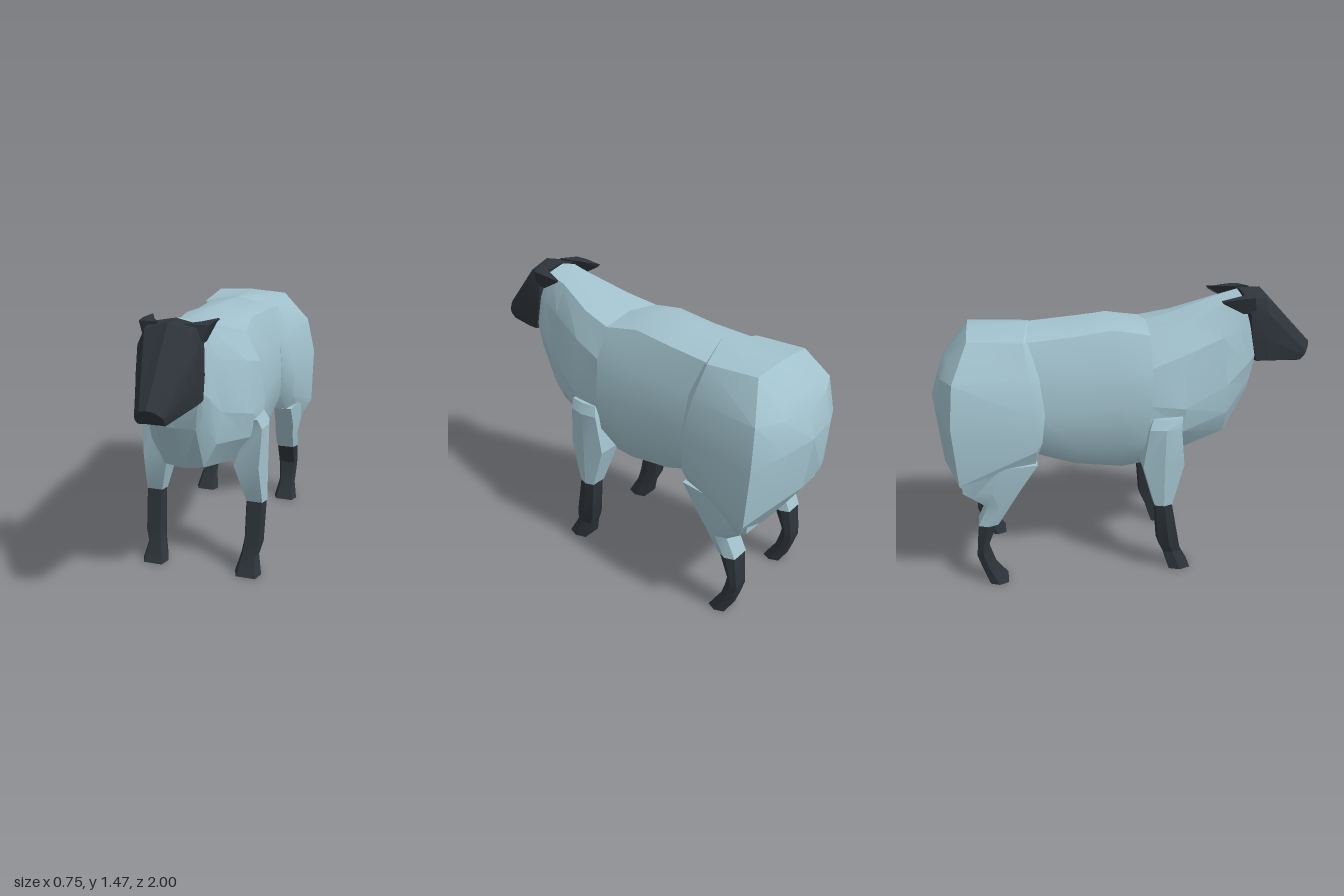
import * as THREE from 'three';
import { toCreasedNormals } from 'three/addons/utils/BufferGeometryUtils.js';

// Skin a list of closed rings of [x, y, z]; both ends are capped.
function loft(rings, crease) {
  const pos = [];
  const A = new THREE.Vector3(), B = new THREE.Vector3(), C = new THREE.Vector3();
  const tri = (a, b, c) => {
    A.set(...a); B.set(...b).sub(A); C.set(...c).sub(A);
    if (B.cross(C).length() > 1e-7) pos.push(...a, ...b, ...c);
  };
  const n = rings[0].length, last = rings.length - 1;
  for (let i = 0; i < last; i++) {
    for (let j = 0; j < n; j++) {
      const k = (j + 1) % n;
      const a = rings[i][j], b = rings[i][k], c = rings[i + 1][k], d = rings[i + 1][j];
      tri(a, d, b);
      tri(b, d, c);
    }
  }
  const centre = (r) => [0, 1, 2].map((m) => r.reduce((s, p) => s + p[m], 0) / n);
  const c0 = centre(rings[0]), c1 = centre(rings[last]);
  for (let j = 0; j < n; j++) {
    const k = (j + 1) % n;
    tri(c0, rings[0][j], rings[0][k]);
    tri(c1, rings[last][k], rings[last][j]);
  }
  const g = new THREE.BufferGeometry();
  g.setAttribute('position', new THREE.Float32BufferAttribute(pos, 3));
  return toCreasedNormals(g, crease);
}

// Complete a left half section (top centre to bottom centre) with its mirror image.
const whole = (half) => [...half, ...half.slice(1, -1).reverse().map(([x, y, z]) => [-x, y, z])];

// Mirror rings to the other side; reversing their order keeps the faces outward.
const mirror = (rings) => rings.map((r) => r.map(([x, y, z]) => [-x, y, z])).reverse();

// Six-sided limb section fitted into a rectangle at height y.
function limbRing([y, x0, x1, z0, z1]) {
  const q = (x1 - x0) * 0.14, zm = (z0 + z1) / 2;
  return [[x0, y, zm], [x0 + q, y, z0], [x1 - q, y, z0], [x1, y, zm], [x1 - q, y, z1], [x0 + q, y, z1]];
}

export function createModel() {
  const model = new THREE.Group();
  const wool = new THREE.MeshStandardMaterial({ name: 'wool', color: 0xa2c2cd });
  const dark = new THREE.MeshStandardMaterial({ name: 'darkSkin', color: 0x2e343a });

  const add = (name, rings, material, crease = 0.4) => {
    const mesh = new THREE.Mesh(loft(rings, crease), material);
    mesh.name = name;
    model.add(mesh);
  };
  const addPair = (name, rings, material, crease) => {
    add('left' + name, rings, material, crease);
    add('right' + name, mirror(rings), material, crease);
  };

  // Rump and haunches, back to front
  add('rump', [
    [[0, 1.19, -0.92], [0, 1.19, -0.92], [0, 1.1, -0.96], [0, 0.97, -1], [0, 0.69, -0.97], [0, 0.55, -0.88], [0, 0.55, -0.88]],
    [[0, 1.19, -0.92], [0.14, 1.19, -0.9], [0.19, 1.12, -0.94], [0.2, 0.97, -0.975], [0.2, 0.69, -0.95], [0.18, 0.54, -0.87], [0, 0.55, -0.88]],
    [[0, 1.312, -0.8], [0.2, 1.3, -0.8], [0.33, 1.13, -0.88], [0.373, 0.93, -0.9], [0.373, 0.62, -0.88], [0.33, 0.53, -0.83], [0, 0.55, -0.85]],
    [[0, 1.335, -0.5], [0.21, 1.285, -0.53], [0.29, 1.13, -0.51], [0.335, 0.94, -0.49], [0.33, 0.76, -0.49], [0.29, 0.67, -0.5], [0, 0.64, -0.48]],
    [[0, 1.337, -0.47], [0.19, 1.27, -0.5], [0.25, 1.12, -0.46], [0.27, 0.93, -0.44], [0.26, 0.77, -0.46], [0.2, 0.68, -0.48], [0, 0.65, -0.46]],
  ].map(whole), wool);

  // Barrel of the body, smooth
  add('torso', [
    [[0, 1.332, -0.52], [0.19, 1.28, -0.52], [0.25, 1.12, -0.52], [0.265, 0.94, -0.52], [0.26, 0.78, -0.5], [0.2, 0.69, -0.49], [0, 0.67, -0.48]],
    [[0, 1.353, -0.29], [0.18, 1.295, -0.29], [0.25, 1.13, -0.29], [0.275, 0.94, -0.29], [0.265, 0.75, -0.29], [0.18, 0.61, -0.29], [0, 0.585, -0.29]],
    [[0, 1.37, -0.09], [0.18, 1.32, -0.08], [0.26, 1.15, -0.07], [0.285, 0.95, -0.06], [0.28, 0.74, -0.05], [0.17, 0.57, -0.04], [0, 0.535, -0.04]],
    [[0, 1.315, 0.11], [0.195, 1.29, 0.1], [0.27, 1.14, 0.1], [0.297, 0.95, 0.09], [0.29, 0.76, 0.08], [0.18, 0.59, 0.07], [0, 0.55, 0.06]],
  ].map(whole), wool, 0.7);

  // Chest and neck
  add('chest', [
    [[0, 1.315, 0.11], [0.195, 1.29, 0.1], [0.27, 1.14, 0.1], [0.297, 0.95, 0.09], [0.29, 0.76, 0.08], [0.18, 0.59, 0.07], [0, 0.55, 0.06]],
    [[0, 1.36, 0.27], [0.165, 1.325, 0.27], [0.24, 1.19, 0.27], [0.285, 0.92, 0.27], [0.26, 0.79, 0.27], [0.16, 0.65, 0.27], [0, 0.64, 0.27]],
    [[0, 1.43, 0.48], [0.105, 1.4, 0.48], [0.17, 1.25, 0.48], [0.19, 1.0, 0.51], [0.165, 0.84, 0.52], [0.1, 0.71, 0.52], [0, 0.7, 0.53]],
    [[0, 1.45, 0.55], [0.1, 1.42, 0.56], [0.145, 1.28, 0.58], [0.16, 1.1, 0.62], [0.13, 1.01, 0.64], [0.1, 0.95, 0.64], [0, 0.95, 0.645]],
    [[0, 1.46, 0.59], [0.1, 1.43, 0.6], [0.135, 1.3, 0.63], [0.14, 1.14, 0.66], [0.12, 1.11, 0.664], [0.1, 1.09, 0.662], [0, 1.09, 0.664]],
  ].map(whole), wool, 0.3);

  // Head, tapering to the muzzle
  add('head', [
    [[0, 1.462, 0.6], [0.12, 1.44, 0.61], [0.14, 1.37, 0.63], [0.147, 1.22, 0.645], [0.147, 1.11, 0.67], [0.08, 1.1, 0.67], [0, 1.1, 0.67]],
    [[0, 1.465, 0.71], [0.11, 1.43, 0.71], [0.14, 1.36, 0.72], [0.15, 1.22, 0.73], [0.145, 1.11, 0.73], [0.08, 1.09, 0.73], [0, 1.09, 0.73]],
    [[0, 1.16, 1.0], [0.035, 1.15, 0.99], [0.065, 1.12, 0.97], [0.067, 1.1, 0.96], [0.062, 1.075, 0.94], [0.04, 1.065, 0.91], [0, 1.06, 0.9]],
  ].map(whole), dark);

  // Ears, swept back
  addPair('Ear', [
    [[0.16, 1.44, 0.465], [0.165, 1.435, 0.47], [0.155, 1.425, 0.475]],
    [[0.11, 1.447, 0.58], [0.167, 1.447, 0.58], [0.14, 1.362, 0.59]],
    [[0.06, 1.457, 0.67], [0.162, 1.447, 0.64], [0.132, 1.36, 0.66]],
  ], dark);

  // Front legs: dark shank and woolly shoulder
  addPair('FrontShank', [
    [0, 0.19, 0.335, 0.195, 0.31],
    [0.1, 0.215, 0.312, 0.165, 0.258],
    [0.17, 0.225, 0.33, 0.133, 0.243],
    [0.41, 0.225, 0.335, 0.115, 0.2],
  ].map(limbRing), dark);
  addPair('FrontShoulder', [
    [0.4, 0.22, 0.337, 0.11, 0.203],
    [0.62, 0.155, 0.337, 0.05, 0.265],
    [0.83, 0.22, 0.337, 0.08, 0.245],
    [0.88, 0.23, 0.31, 0.1, 0.255],
  ].map(limbRing), wool);

  // Hind legs: dark shank with hock and woolly thigh
  addPair('HindShank', [
    [0, 0.19, 0.33, -0.765, -0.67],
    [0.09, 0.21, 0.308, -0.8, -0.73],
    [0.17, 0.205, 0.312, -0.823, -0.755],
    [0.22, 0.2, 0.315, -0.818, -0.765],
    [0.36, 0.19, 0.318, -0.8, -0.71],
  ].map(limbRing), dark);
  addPair('HindThigh', [
    [0.35, 0.185, 0.322, -0.805, -0.705],
    [0.46, 0.187, 0.328, -0.755, -0.635],
    [0.55, 0.19, 0.34, -0.87, -0.58],
    [0.68, 0.2, 0.34, -0.87, -0.49],
  ].map(limbRing), wool);

  return model;
}
